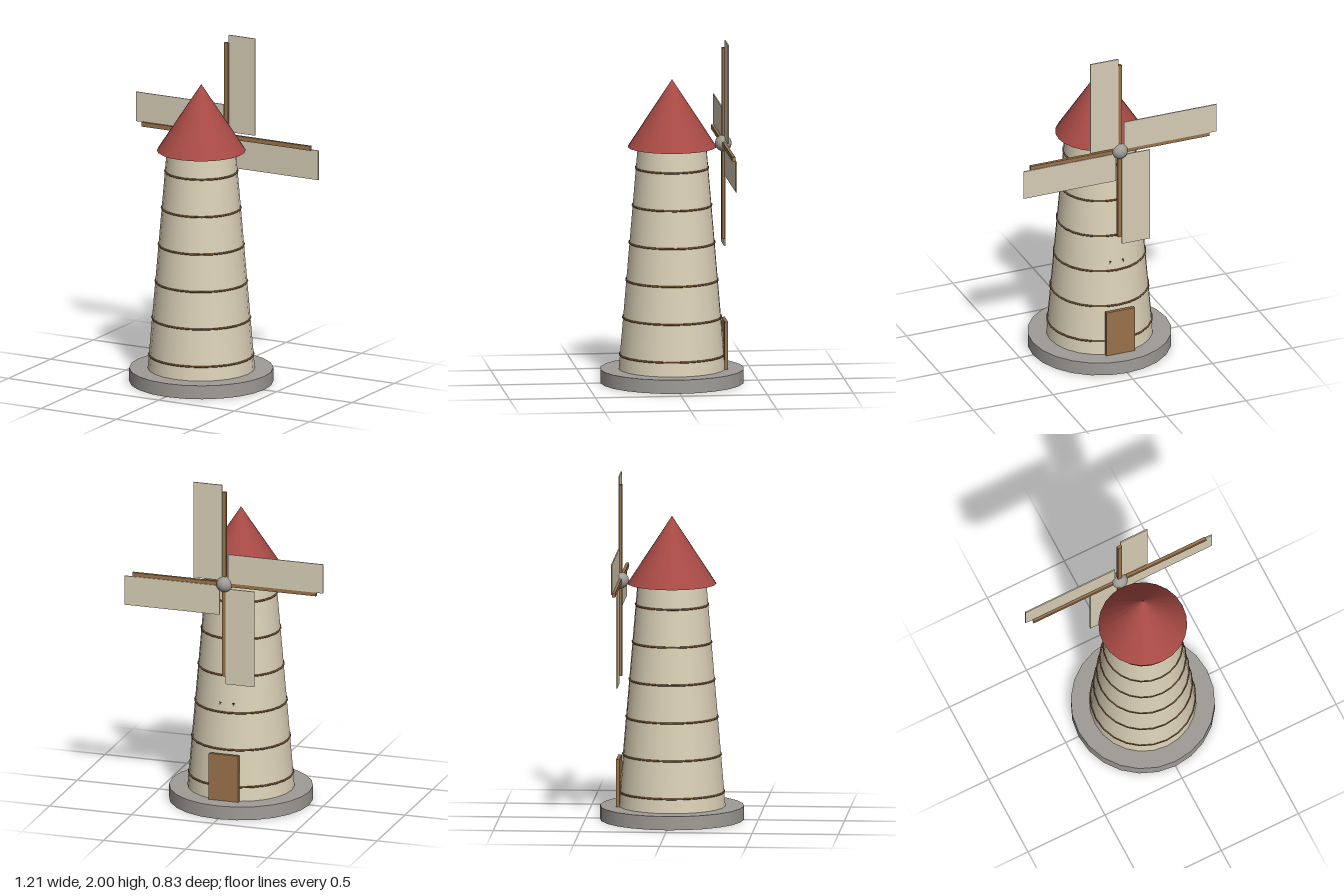
import * as THREE from 'three';

const mat = (name, color) => {
  const m = new THREE.MeshStandardMaterial({ color });
  m.name = name;
  return m;
};

export function createModel() {
  const stone = mat('stone grey', 0xa09c97);
  const plaster = mat('cream plaster', 0xdcd2b8);
  const brick = mat('roof red', 0xa84a45);
  const wood = mat('wood brown', 0x98724a);
  const darkWood = mat('dark wood', 0x75532f);
  const canvas = mat('sail canvas', 0xd6ccb4);
  const shade = mat('window dark', 0x43382c);

  const model = new THREE.Group();
  model.name = 'windmill';
  const add = (parent, name, geometry, material, x = 0, y = 0, z = 0) => {
    const mesh = new THREE.Mesh(geometry, material);
    mesh.name = name;
    mesh.position.set(x, y, z);
    parent.add(mesh);
    return mesh;
  };

  // Plinth, tapered tower and conical roof
  const SIDES = 24, bottom = 0.08, top = 1.38;
  const towerRadius = (y) => 0.31 - 0.11 * (y - bottom) / (top - bottom);
  add(model, 'base', new THREE.CylinderGeometry(0.417, 0.417, bottom, SIDES), stone, 0, bottom / 2);
  add(model, 'tower', new THREE.CylinderGeometry(towerRadius(top), towerRadius(bottom), top - bottom, SIDES),
    plaster, 0, (top + bottom) / 2);
  add(model, 'roof', new THREE.ConeGeometry(0.257, 0.395, SIDES), brick, 0, top + 0.1975);

  // Thin hoops around the tower
  for (let i = 0; i < 6; i++) {
    const y = 0.163 + i * 0.219;
    const hoop = add(model, 'band', new THREE.TorusGeometry(towerRadius(y), 0.006, 6, SIDES), darkWood, 0, y);
    hoop.rotation.x = Math.PI / 2;
  }

  // Door, and a window set almost flush in the wall above it
  add(model, 'door', new THREE.BoxGeometry(0.18, 0.28, 0.02), wood, 0, 0.22, -0.307);
  add(model, 'window', new THREE.BoxGeometry(0.09, 0.13, 0.02), shade, 0, 0.595, -0.247);

  // Rotor: hub with four spars, each carrying an offset sail
  const rotor = new THREE.Group();
  rotor.name = 'rotor';
  rotor.position.set(0, 1.395, -0.298);
  model.add(rotor);
  add(rotor, 'hub', new THREE.SphereGeometry(0.048, 20, 14), stone);
  for (let i = 0; i < 4; i++) {
    const blade = new THREE.Group();
    blade.name = 'blade';
    blade.rotation.z = -i * Math.PI / 2;
    add(blade, 'spar', new THREE.BoxGeometry(0.026, 0.56, 0.018), wood, 0, 0.28, 0);
    add(blade, 'sail', new THREE.BoxGeometry(0.176, 0.58, 0.007), canvas, 0.098, 0.315, -0.0095);
    rotor.add(blade);
  }
  return model;
}
